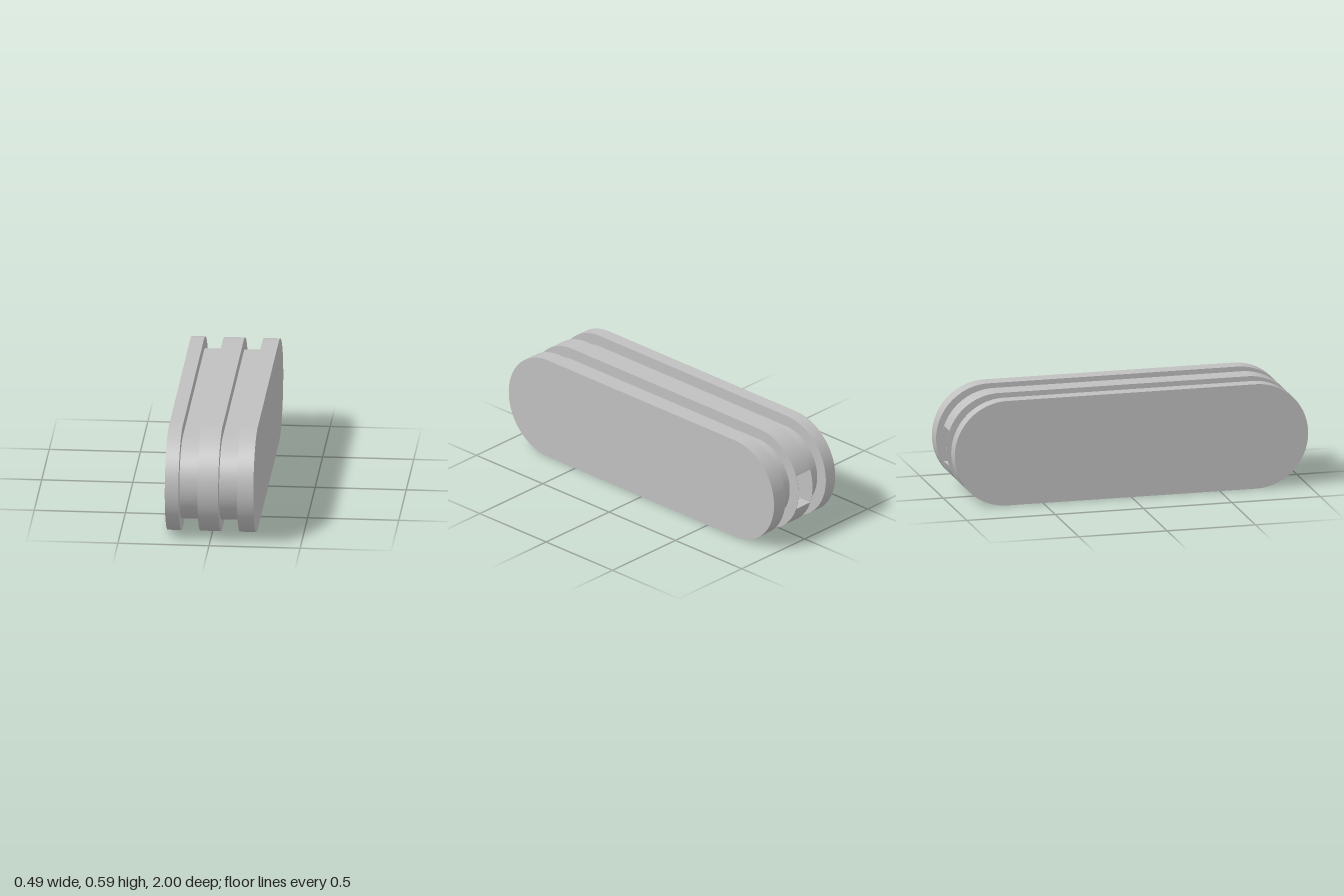
import * as THREE from 'three';
import { toCreasedNormals } from 'three/addons/utils/BufferGeometryUtils.js';

const SPAN = 0.705; // half distance between the two rounded ends
const RADIUS = 0.295;
const POCKET = { half: 0.1, depth: 0.3 };

// Capsule outline in the z-y plane (shape +x becomes -z), optionally notched at the back
function outline(r, pocket) {
  const s = new THREE.Shape();
  s.moveTo(-SPAN, -r);
  s.lineTo(SPAN, -r);
  if (pocket) {
    const a = Math.asin(pocket.half / r);
    const inner = SPAN + r - pocket.depth;
    s.absarc(SPAN, 0, r, -Math.PI / 2, -a, false);
    s.lineTo(inner, -pocket.half);
    s.lineTo(inner, pocket.half);
    s.absarc(SPAN, 0, r, a, Math.PI / 2, false);
  } else {
    s.absarc(SPAN, 0, r, -Math.PI / 2, Math.PI / 2, false);
  }
  s.lineTo(-SPAN, r);
  s.absarc(-SPAN, 0, r, Math.PI / 2, Math.PI * 1.5, false);
  return s;
}

export function createModel() {
  const group = new THREE.Group();
  const grey = new THREE.MeshStandardMaterial({ color: 0xc0c0c0 });
  grey.name = 'grey';

  // Slab of the capsule outline between x0 and x1
  function slab(name, x0, x1, r, pocket) {
    let geo = new THREE.ExtrudeGeometry(outline(r, pocket), {
      depth: x1 - x0, bevelEnabled: false, curveSegments: 40,
    });
    geo.rotateY(Math.PI / 2);
    geo.translate(x0, RADIUS, 0);
    geo = toCreasedNormals(geo, 0.5);
    geo.clearGroups();
    const mesh = new THREE.Mesh(geo, grey);
    mesh.name = name;
    group.add(mesh);
  }

  // Outer flanges and recessed grooves
  slab('rightFlange', -0.243, -0.168, RADIUS);
  slab('rightGroove', -0.168, -0.064, 0.23);
  slab('leftGroove', 0.05, 0.153, 0.23);
  slab('leftFlange', 0.153, 0.243, RADIUS);

  // Centre rib with a rear pocket between two thin cheeks
  slab('rightCheek', -0.064, -0.062, RADIUS);
  slab('centreRib', -0.062, 0.048, RADIUS, POCKET);
  slab('leftCheek', 0.048, 0.05, RADIUS);

  return group;
}
